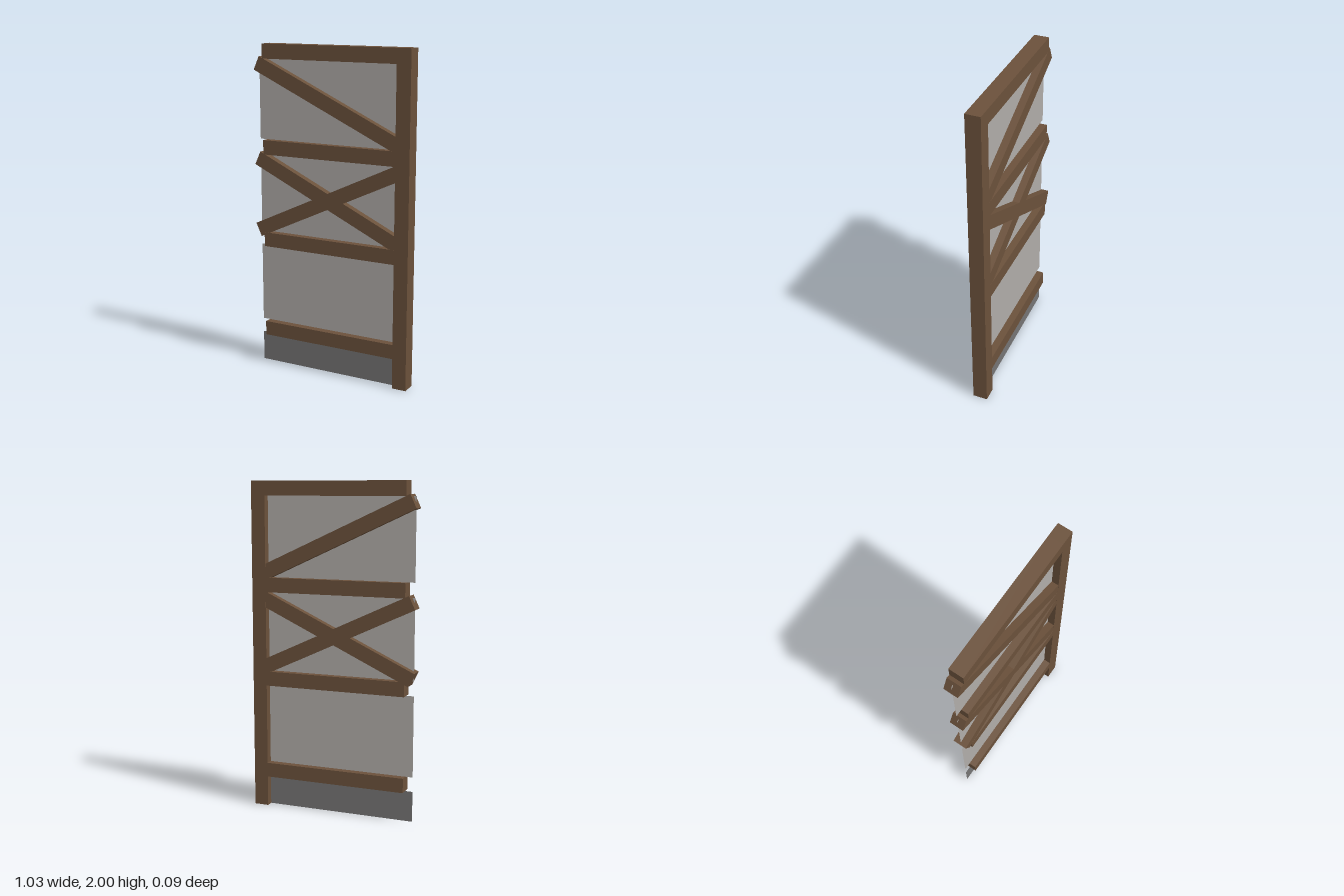
import * as THREE from 'three';

const DEPTH = 0.09;
const BEAM = 0.088;

export function createModel() {
  const group = new THREE.Group();
  const wood = new THREE.MeshStandardMaterial({ color: 0x6b513b });
  wood.name = 'brownTimber';
  const plaster = new THREE.MeshStandardMaterial({ color: 0xb0aca8, side: THREE.DoubleSide });
  plaster.name = 'greyPlaster';
  const stone = new THREE.MeshStandardMaterial({ color: 0x757474, side: THREE.DoubleSide });
  stone.name = 'darkStone';

  const add = (name, geometry, material, x, y) => {
    const mesh = new THREE.Mesh(geometry, material);
    mesh.name = name;
    mesh.position.set(x, y, 0);
    group.add(mesh);
    return mesh;
  };

  // Upright post on the model's left
  add('post', new THREE.BoxGeometry(BEAM, 2, DEPTH), wood, 0.468, 1);

  // Horizontal rails running into the post
  const railLeft = -0.456, postFace = 0.424;
  for (const [name, y] of [['topRail', 1.956], ['upperRail', 1.381], ['lowerRail', 0.807], ['bottomRail', 0.229]]) {
    add(name, new THREE.BoxGeometry(postFace - railLeft, BEAM, DEPTH), wood, (railLeft + postFace) / 2, y);
  }

  // Diagonal braces, square-cut at the free end and buried in the post
  const addBrace = (name, y, slope) => {
    const x0 = -0.497, x1 = 0.45;
    const dx = x1 - x0, dy = dx * slope;
    const brace = add(name, new THREE.BoxGeometry(Math.hypot(dx, dy), BEAM, DEPTH - 0.002), wood,
      (x0 + x1) / 2, y + dy / 2);
    brace.rotation.z = Math.atan2(dy, dx);
  };
  addBrace('upperBrace', 1.885, -0.462);
  addBrace('crossBraceFalling', 1.313, -0.465);
  addBrace('crossBraceRising', 0.864, 0.465);

  // Thin infill panels between the rails, on the centre plane
  const panelLeft = -0.502;
  const addPanel = (name, bottom, top, material) =>
    add(name, new THREE.PlaneGeometry(postFace - panelLeft, top - bottom), material,
      (panelLeft + postFace) / 2, (bottom + top) / 2);
  addPanel('upperPanel', 1.425, 1.912, plaster);
  addPanel('middlePanel', 0.851, 1.337, plaster);
  addPanel('lowerPanel', 0.273, 0.763, plaster);
  addPanel('footPanel', 0, 0.185, stone);

  return group;
}
